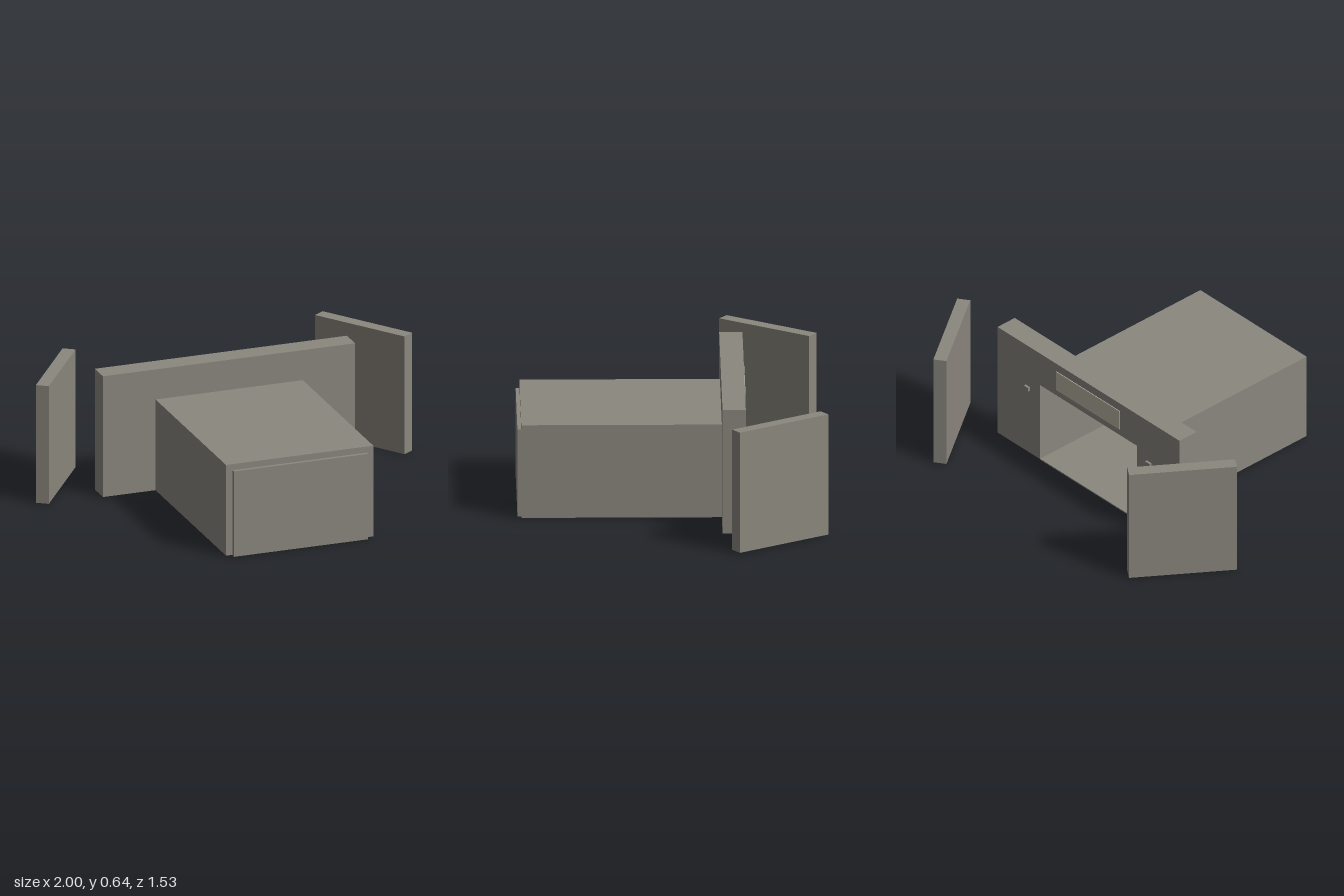
import * as THREE from 'three';

export function createModel() {
  const model = new THREE.Group();
  const stone = new THREE.MeshStandardMaterial({ color: 0x8b877e });
  stone.name = 'grey stone';
  const pale = new THREE.MeshStandardMaterial({ color: 0xb9b4a4 });
  pale.name = 'pale stone';

  function add(name, geometry, material = stone) {
    const mesh = new THREE.Mesh(geometry, material);
    mesh.name = name;
    model.add(mesh);
    return mesh;
  }
  // box given by its limits
  function block(name, x0, x1, y0, y1, z0, z1, material) {
    const mesh = add(name, new THREE.BoxGeometry(x1 - x0, y1 - y0, z1 - z0), material);
    mesh.position.set((x0 + x1) / 2, (y0 + y1) / 2, (z0 + z1) / 2);
    return mesh;
  }
  // upright slab with a doorway cut from its foot, running from z0 to z1
  const inner = { x0: -0.35, x1: 0.357, top: 0.45 };
  function portal(name, x0, x1, top, z0, z1) {
    const shape = new THREE.Shape([
      [x0, 0.004], [inner.x0, 0.004], [inner.x0, inner.top], [inner.x1, inner.top],
      [inner.x1, 0.004], [x1, 0.004], [x1, top], [x0, top],
    ].map(([x, y]) => new THREE.Vector2(x, y)));
    const geometry = new THREE.ExtrudeGeometry(shape, { depth: z1 - z0, bevelEnabled: false });
    add(name, geometry).position.z = z0;
  }

  // hollow chamber, entrance wall, floor and closing slab
  portal('chamberWallsAndRoof', -0.385, 0.392, 0.482, -0.245, 0.745);
  portal('entranceWall', -0.662, 0.668, 0.64, -0.36, -0.245);
  block('floor', inner.x0, inner.x1, 0, 0.006, -0.36, 0.764);
  block('endSlab', inner.x0, inner.x1, 0.006, inner.top, 0.735, 0.764);

  // low structure inside the chamber, with upright strips on its face
  block('innerBlock', inner.x0, inner.x1, 0.006, 0.3, 0.215, 0.3);
  for (const x of [-0.31, -0.09, 0.1, 0.32]) {
    block('innerPilaster', x - 0.035, x + 0.035, 0.006, 0.3, 0.2, 0.215);
  }

  // lintel panel and small wall pegs
  block('lintelPanel', -0.228, 0.236, 0.485, 0.595, -0.364, -0.36, pale);
  for (const x of [-0.44, 0.447]) {
    block('wallPeg', x - 0.016, x + 0.016, 0.378, 0.4, -0.373, -0.36);
  }

  // free-standing slanted wing walls
  for (const [name, x, z, side] of [['rightWing', -0.82, -0.488, -1], ['leftWing', 0.819, -0.528, 1]]) {
    const wing = add(name, new THREE.BoxGeometry(0.066, 0.62, 0.537));
    wing.position.set(x, 0.314, z);
    wing.rotation.y = side * 0.608;
  }
  return model;
}
